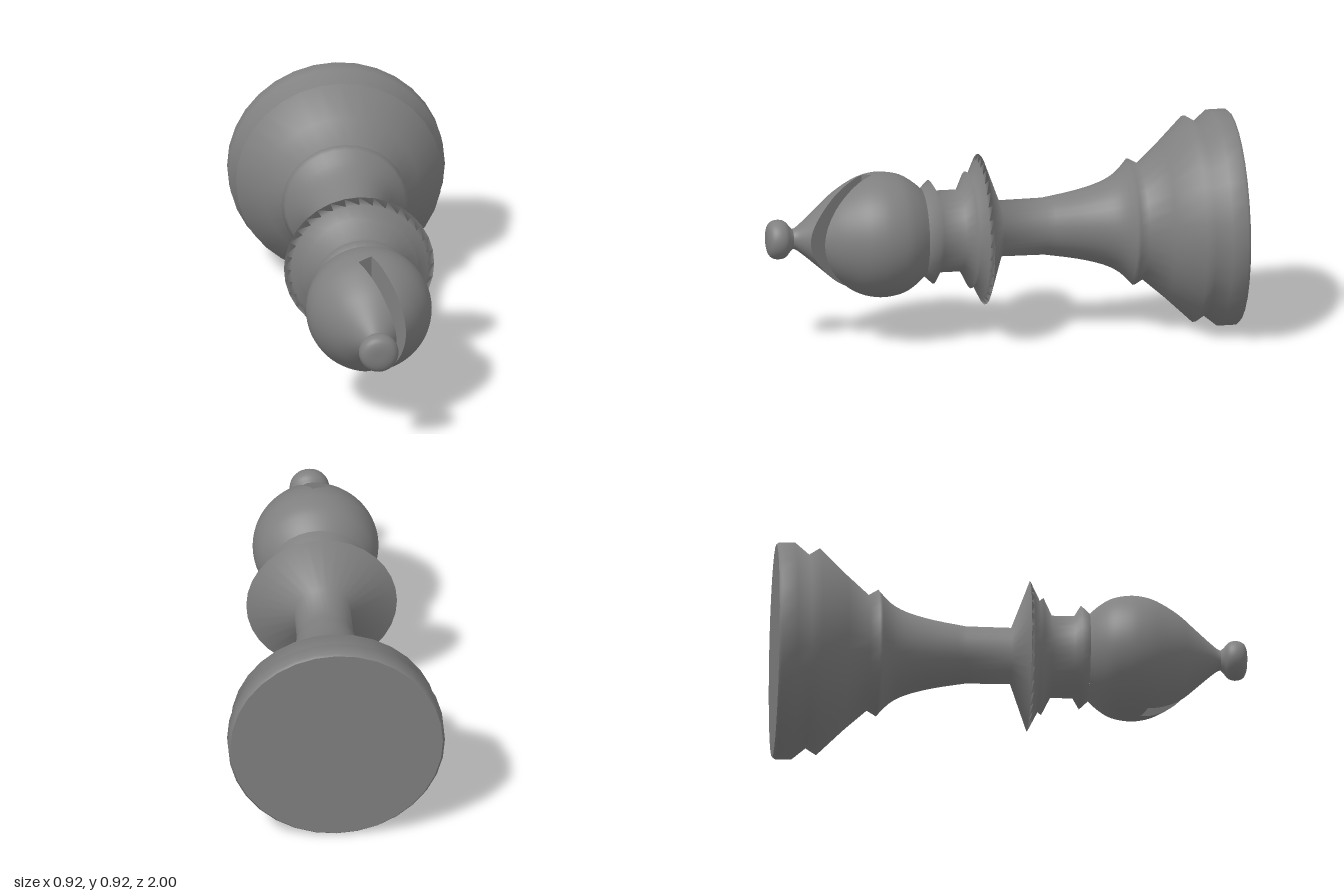
import * as THREE from 'three';

const AXIS_Y = 0.459;
const COLOR = 0x808080;
const material = new THREE.MeshStandardMaterial({ color: COLOR });
const wallMaterial = new THREE.MeshStandardMaterial({ color: COLOR, side: THREE.DoubleSide });

// Smoothly shaded turned solid along z from [z, radius] pairs
function turned(profile, sides = 32) {
  const points = profile.map(([z, r]) => new THREE.Vector2(r, z));
  return new THREE.LatheGeometry(points, sides).rotateX(Math.PI / 2);
}

// Smooth run of [z, radius] pairs through a few control points
function smooth(profile, steps) {
  const curve = new THREE.SplineCurve(profile.map(([z, r]) => new THREE.Vector2(z, r)));
  return curve.getPoints(steps).map((p) => [p.x, p.y]);
}

const headProfile = smooth([
  [0.33, 0.185], [0.37, 0.22], [0.42, 0.25], [0.48, 0.264], [0.54, 0.264], [0.61, 0.245],
  [0.7, 0.193], [0.77, 0.134], [0.83, 0.082], [0.87, 0.05], [0.888, 0.042],
], 40);

function headRadius(z) {
  const i = headProfile.findIndex((p) => p[0] >= z);
  if (i < 1) return 0;
  const [z0, r0] = headProfile[i - 1], [z1, r1] = headProfile[i];
  return r0 + ((r1 - r0) * (z - z0)) / (z1 - z0);
}

// Slanted slot in the xz plane: floor A-B, side walls along the slope
const A = new THREE.Vector2(-0.05, 0.58), B = new THREE.Vector2(0.008, 0.55);
const slope = new THREE.Vector2(0.135, 0.24).normalize();

// Where a slot wall leaves the head
function exitPoint(start) {
  let lo = 0, hi = 0.32;
  for (let i = 0; i < 40; i++) {
    const mid = (lo + hi) / 2;
    const p = start.clone().addScaledVector(slope, mid);
    if (headRadius(p.y) > Math.abs(p.x)) lo = mid; else hi = mid;
  }
  return start.clone().addScaledVector(slope, lo);
}

// Signed distance to a line, negative on the side of the slot's middle
function slotEdge(p, q) {
  const middle = new THREE.Vector2(0.045, 0.68);
  const n = new THREE.Vector2(q.y - p.y, p.x - q.x).normalize();
  if (n.dot(middle.clone().sub(p)) > 0) n.negate();
  return (v) => n.x * (v[0] - p.x) + n.y * (v[2] - p.y);
}

// Part of a convex polygon where sign * distance >= 0
function clip(polygon, distance, sign) {
  const out = [];
  polygon.forEach((a, i) => {
    const b = polygon[(i + 1) % polygon.length];
    const da = sign * distance(a), db = sign * distance(b);
    if (da >= 0) out.push(a);
    if ((da >= 0) !== (db >= 0)) out.push(a.map((v, k) => v + ((b[k] - v) * da) / (da - db)));
  });
  return out;
}

// Remove the slot from the head's skin, carrying the normals along
function cutSlot(geometry) {
  const edges = [slotEdge(A, B), slotEdge(A, A.clone().add(slope)), slotEdge(B, B.clone().add(slope))];
  const { position, normal } = geometry.toNonIndexed().attributes;
  const positions = [], normals = [];
  const emit = (polygon) => {
    for (let i = 1; i + 1 < polygon.length; i++) {
      for (const v of [polygon[0], polygon[i], polygon[i + 1]]) {
        positions.push(...v.slice(0, 3));
        normals.push(...v.slice(3));
      }
    }
  };
  for (let i = 0; i < position.count; i += 3) {
    let rest = [0, 1, 2].map((k) => [
      position.getX(i + k), position.getY(i + k), position.getZ(i + k),
      normal.getX(i + k), normal.getY(i + k), normal.getZ(i + k),
    ]);
    for (const edge of edges) {
      emit(clip(rest, edge, 1));
      rest = clip(rest, edge, -1);
    }
  }
  const cut = new THREE.BufferGeometry();
  cut.setAttribute('position', new THREE.Float32BufferAttribute(positions, 3));
  cut.setAttribute('normal', new THREE.Float32BufferAttribute(normals, 3));
  return cut;
}

// Flat wall of the slot, reaching to the head's skin above and below
function slotWall(p, q, steps = 32) {
  const positions = [], index = [];
  for (let i = 0; i <= steps; i++) {
    const t = 1 - (1 - i / steps) ** 2;
    const c = p.clone().lerp(q, t);
    const h = Math.sqrt(Math.max(0, headRadius(c.y) ** 2 - c.x ** 2));
    positions.push(c.x, h, c.y, c.x, -h, c.y);
    if (i < steps) {
      const k = 2 * i;
      index.push(k, k + 1, k + 2, k + 2, k + 1, k + 3);
    }
  }
  const geometry = new THREE.BufferGeometry();
  geometry.setAttribute('position', new THREE.Float32BufferAttribute(positions, 3));
  geometry.setIndex(index);
  geometry.computeVertexNormals();
  return geometry;
}

export function createModel() {
  const model = new THREE.Group();
  model.name = 'chessBishop';
  const add = (name, geometry, mat = material) => {
    const mesh = new THREE.Mesh(geometry, mat);
    mesh.name = name;
    mesh.position.y = AXIS_Y;
    model.add(mesh);
  };

  // Flat underside of the foot
  add('underside', turned([[-1, 0], [-1, 0.45]]));

  // Foot, stem and collar in one softly shaded turning
  add('body', turned([
    // rim, groove and bell-shaped flare
    [-1, 0.45], [-0.988, 0.459], [-0.92, 0.459], [-0.86, 0.41], [-0.815, 0.438],
    [-0.7, 0.328], [-0.605, 0.245],
    // tapering stem
    ...smooth([[-0.565, 0.268], [-0.51, 0.212], [-0.44, 0.175], [-0.33, 0.145], [-0.19, 0.121]], 12),
    [0, 0.119],
    // wide collar, small step and neck ring
    [0.075, 0.319], [0.09, 0.29], [0.118, 0.235], [0.133, 0.248], [0.17, 0.174],
    [0.265, 0.174], [0.293, 0.22], [0.33, 0.185],
  ]));

  // Slotted head
  add('head', cutSlot(turned(headProfile, 64)));
  add('slotFloor', slotWall(A, B), wallMaterial);
  add('slotInnerWall', slotWall(A, exitPoint(A)), wallMaterial);
  add('slotOuterWall', slotWall(B, exitPoint(B)), wallMaterial);

  // Knob at the tip
  add('finial', turned(smooth([
    [0.888, 0.042], [0.903, 0.057], [0.92, 0.076], [0.945, 0.084], [0.972, 0.08],
    [0.99, 0.065], [0.999, 0.035], [1, 0],
  ], 20)));

  return model;
}
